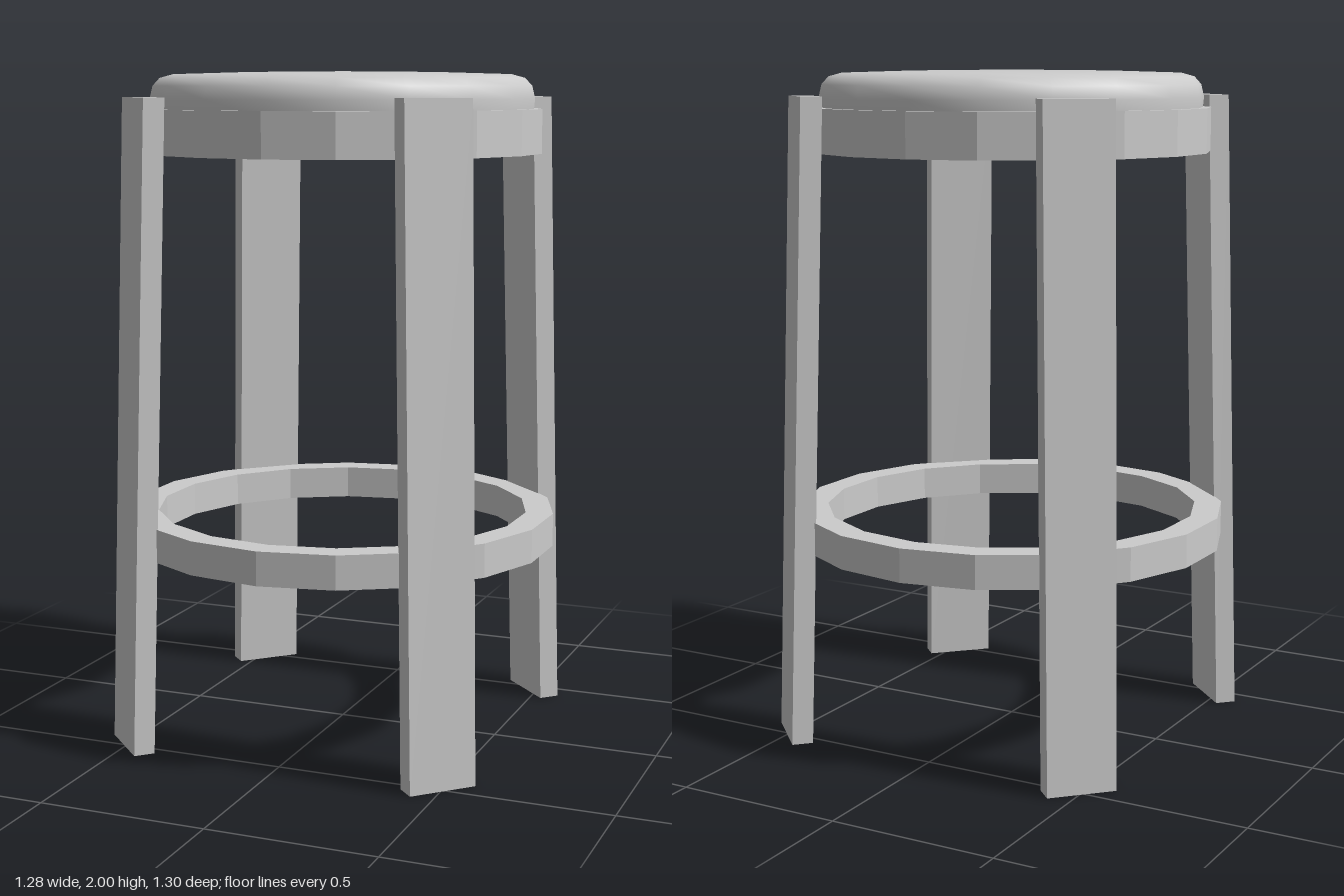
import * as THREE from 'three';
import { toCreasedNormals } from 'three/addons/utils/BufferGeometryUtils.js';

const SIDES = 18;

function lathe(points) {
  return new THREE.LatheGeometry(points.map(([r, y]) => new THREE.Vector2(r, y)), SIDES);
}

// Faceted hoop with a rectangular section
function hoop(name, inner, outer, bottom, top, material) {
  const geometry = lathe([[inner, bottom], [outer, bottom], [outer, top], [inner, top], [inner, bottom]]);
  const mesh = new THREE.Mesh(geometry, material);
  mesh.name = name;
  return mesh;
}

export function createModel() {
  const model = new THREE.Group();
  model.name = 'stool';
  const flat = new THREE.MeshStandardMaterial({ color: 0xcccccc, flatShading: true });
  const smooth = new THREE.MeshStandardMaterial({ color: 0xcccccc });

  // Seat rim and foot ring
  model.add(hoop('seatRim', 0.535, 0.597, 1.76, 1.89, flat));
  model.add(hoop('footRing', 0.567, 0.65, 0.58, 0.68, flat));

  // Padded seat with a soft edge and slightly domed top
  const pad = lathe([
    [0, 1.87], [0.57, 1.87], [0.575, 1.92], [0.566, 1.957],
    [0.545, 1.98], [0.505, 1.991], [0.3, 1.997], [0, 2],
  ]);
  const cushion = new THREE.Mesh(toCreasedNormals(pad, THREE.MathUtils.degToRad(55)), smooth);
  cushion.name = 'cushion';
  model.add(cushion);

  // Flat plank leg, sheared so it leans inward while its ends stay level
  const height = 1.925, footRadius = 0.684, topRadius = 0.622;
  const plank = new THREE.BoxGeometry(0.205, height, 0.063);
  plank.translate(0, height / 2, 0);
  const p = plank.attributes.position;
  for (let i = 0; i < p.count; i++) {
    p.setZ(i, p.getZ(i) + THREE.MathUtils.lerp(footRadius, topRadius, p.getY(i) / height));
  }
  plank.computeVertexNormals();

  // Four legs on the diagonals
  ['frontLeftLeg', 'backLeftLeg', 'backRightLeg', 'frontRightLeg'].forEach((name, i) => {
    const leg = new THREE.Mesh(plank, flat);
    leg.name = name;
    leg.rotation.y = Math.PI / 4 + i * Math.PI / 2;
    model.add(leg);
  });

  return model;
}
